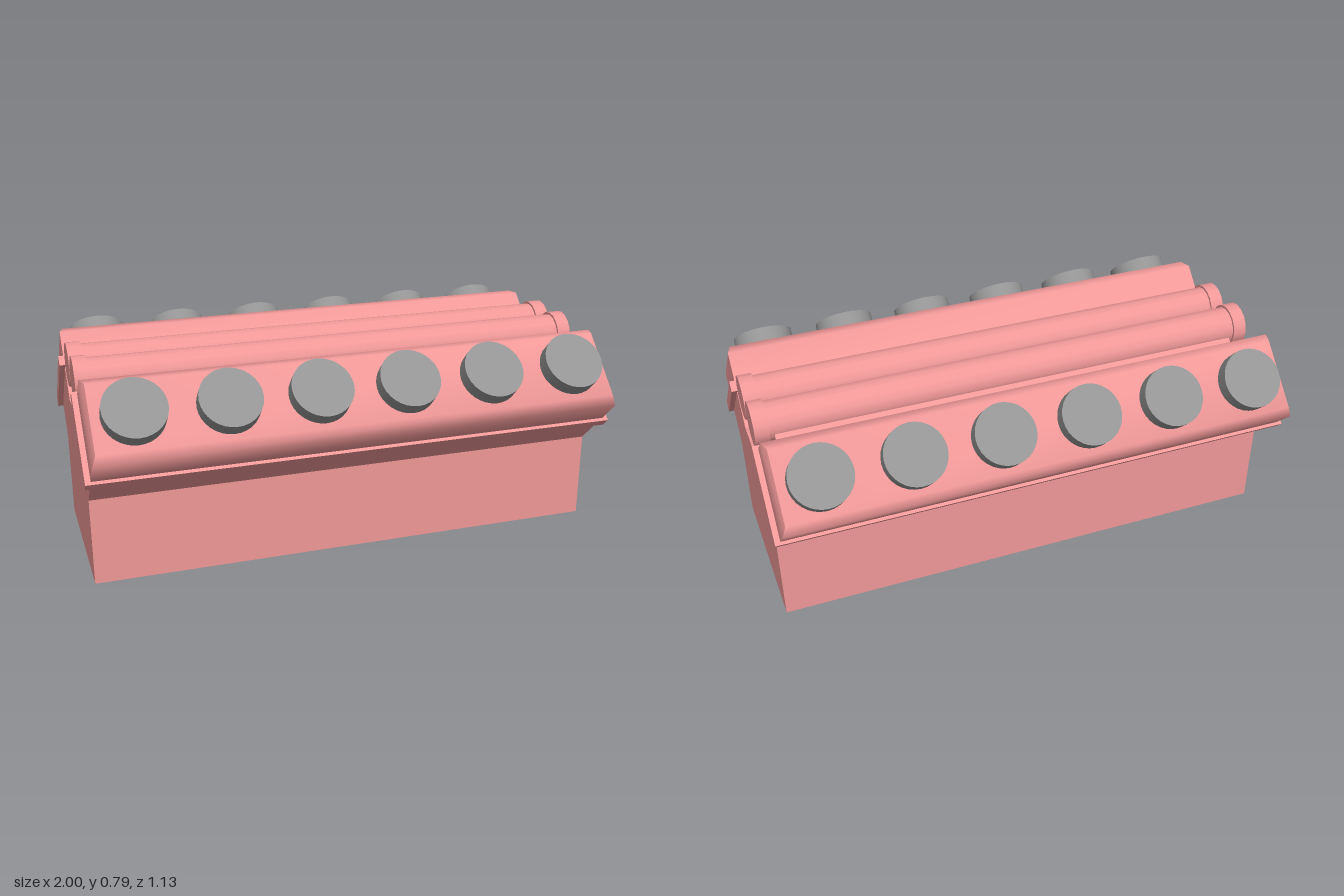
import * as THREE from 'three';
import { toCreasedNormals } from 'three/addons/utils/BufferGeometryUtils.js';

const red = new THREE.MeshStandardMaterial({ color: 0xf09898 });
const grey = new THREE.MeshStandardMaterial({ color: 0x949494 });
const stations = [-0.82, -0.492, -0.164, 0.164, 0.492, 0.82];
const HALF = 0.98;

function add(parent, name, geometry, material, x = 0, y = 0, z = 0) {
  const mesh = new THREE.Mesh(geometry, material);
  mesh.name = name;
  mesh.position.set(x, y, z);
  parent.add(mesh);
  return mesh;
}

// Box with sloped upper edges, lofted from rectangles [halfX, y, halfZ]
function bevelledCover(sections) {
  const pos = [], index = [];
  for (const [x, y, z] of sections) pos.push(-x, y, z, x, y, z, x, y, -z, -x, y, -z);
  for (let s = 0; s < sections.length - 1; s++) {
    for (let i = 0; i < 4; i++) {
      const a = s * 4 + i, b = s * 4 + (i + 1) % 4;
      index.push(a, b, b + 4, a, b + 4, a + 4);
    }
  }
  const t = (sections.length - 1) * 4;
  index.push(t, t + 1, t + 2, t, t + 2, t + 3, 0, 2, 1, 0, 3, 2);
  const g = new THREE.BufferGeometry();
  g.setAttribute('position', new THREE.Float32BufferAttribute(pos, 3));
  g.setIndex(index);
  return toCreasedNormals(g, 0.9);
}

function rectangle(path, x, y) {
  path.moveTo(-x, -y);
  path.lineTo(x, -y);
  path.lineTo(x, y);
  path.lineTo(-x, y);
  path.closePath();
  return path;
}

// One cylinder bank, tilted 45 degrees towards +z
function createBank() {
  const bank = new THREE.Group();
  bank.name = 'cylinderBank';
  const tilted = new THREE.Group();
  tilted.name = 'cylinderHead';
  tilted.position.set(0, 0.574, 0.343);
  tilted.rotation.x = Math.PI / 4;
  bank.add(tilted);

  add(tilted, 'headFlange', new THREE.BoxGeometry(2, 0.041, 0.354), red, 0, -0.0205, 0);
  add(tilted, 'valveCover', bevelledCover([
    [HALF, 0, 0.165], [HALF, 0.11, 0.165], [0.966, 0.142, 0.133],
  ]), red);
  add(tilted, 'intakePlate', new THREE.BoxGeometry(1.82, 0.109, 0.044), red, 0, -0.098, -0.187);
  for (const x of stations) {
    add(tilted, 'coverCap', new THREE.CylinderGeometry(0.113, 0.113, 0.07, 32), grey, x, 0.164, 0);
  }

  // Intake tube with a wider collar at each end
  const tube = new THREE.Group();
  tube.name = 'intakeTube';
  tube.position.set(0, 0.703, 0.089);
  bank.add(tube);
  const body = new THREE.CylinderGeometry(0.074, 0.074, 1.88, 16).rotateZ(Math.PI / 2);
  add(tube, 'tubeBody', body, red);
  const collar = new THREE.CylinderGeometry(0.083, 0.083, 0.053, 16).rotateZ(Math.PI / 2);
  for (const side of [-1, 1]) add(tube, 'tubeCollar', collar, red, side * 0.9535, 0, 0);
  return bank;
}

export function createModel() {
  const model = new THREE.Group();
  model.name = 'engine';
  const floor = 0.056;

  // Block: V-shaped profile extruded along x
  const half = [[0.328, floor], [0.328, 0.33], [0.43, 0.43], [0.197, 0.661], [0.1, 0.56]];
  const outline = [...half, ...half.map(([z, y]) => [-z, y]).reverse()];
  const block = new THREE.ExtrudeGeometry(
    new THREE.Shape(outline.map(([z, y]) => new THREE.Vector2(z, y))),
    { depth: HALF * 2, bevelEnabled: false });
  block.translate(0, 0, -HALF).rotateY(-Math.PI / 2);
  add(model, 'engineBlock', block, red);

  // Rim around the recessed underside
  const rimShape = rectangle(new THREE.Shape(), HALF, 0.328);
  rimShape.holes.push(rectangle(new THREE.Path(), HALF - 0.055, 0.273));
  const rim = new THREE.ExtrudeGeometry(rimShape, { depth: floor, bevelEnabled: false });
  rim.rotateX(-Math.PI / 2);
  add(model, 'bottomRim', rim, red);

  // Pins in the recess
  for (const x of stations) {
    add(model, 'bottomPin', new THREE.CylinderGeometry(0.05, 0.05, 0.06, 24), grey, x, 0.031, 0);
  }

  // Front and back banks
  for (const angle of [0, Math.PI]) {
    const bank = createBank();
    bank.rotation.y = angle;
    model.add(bank);
  }
  return model;
}
